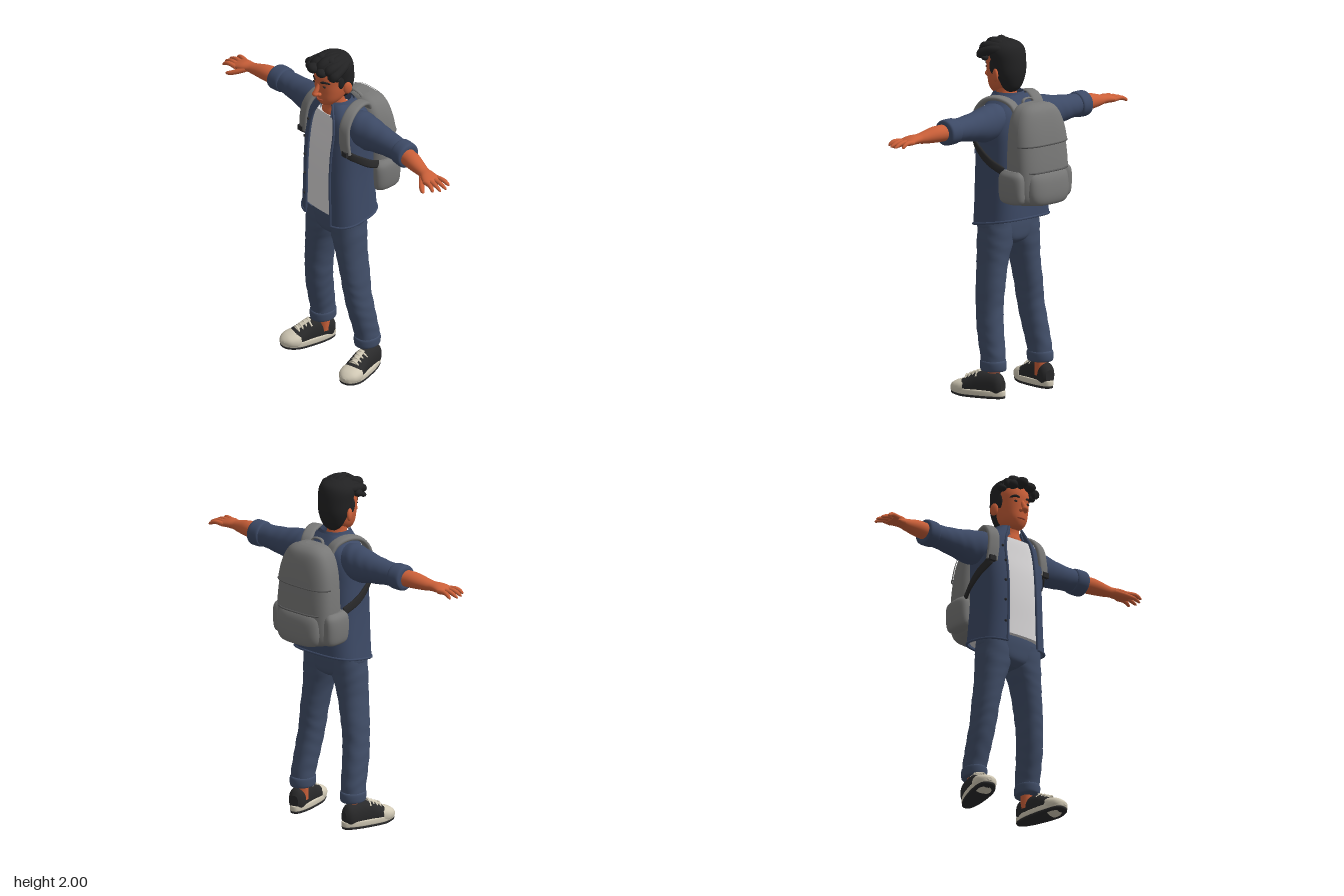
import * as THREE from 'three';

const V = (x, y, z) => new THREE.Vector3(x, y, z);
const TAU = Math.PI * 2;
const mat = (name, color, side = THREE.FrontSide) => {
  const m = new THREE.MeshStandardMaterial({ color, side });
  m.name = name;
  return m;
};

// Smooth interpolation between rows of numbers at fractional index u
function rowAt(rows, u) {
  const n = rows.length - 1, i = Math.min(Math.floor(u), n - 1), t = u - i;
  const [a, b, c, d] = [rows[Math.max(i - 1, 0)], rows[i], rows[i + 1], rows[Math.min(i + 2, n)]];
  return b.map((q, k) => q + 0.5 * t * (c[k] - a[k] + t * (2 * a[k] - 5 * q + 4 * c[k] - d[k] + t * (3 * (q - c[k]) + d[k] - a[k]))));
}

// Rings from rows [position, centre, centre, radius, radius] along an axis; on y, angle 0 is the front
function makeRings(rows, { axis = 'y', p = 2, n = 32, from = 0, to = TAU, u0 = 0, u1 = rows.length - 1, off = 0, fold = 0, rule } = {}) {
  const out = [], steps = Math.max(2, Math.ceil((u1 - u0) * 5)), open = to - from < TAU - 0.001;
  const pw = x => Math.sign(x) * Math.pow(Math.abs(x), 2 / p);
  for (let i = 0; i <= steps; i++) {
    const [t, c, d, ra, rb] = rowAt(rows, u0 + (u1 - u0) * i / steps), ring = [];
    for (let j = 0; j < (open ? n + 1 : n); j++) {
      const th = from + (to - from) * j / n;
      const k = 1 + fold * Math.sin(t * 75 + Math.sin(th * 2 + t * 9) * 2);
      const cs = pw(Math.cos(th)), sn = pw(Math.sin(th));
      const A = c + (Math.max(ra, 0.001) * k + off) * (axis === 'y' ? sn : cs);
      const B = d + (Math.max(rb, 0.001) * k + off) * (axis === 'y' ? cs : sn);
      const v = axis === 'y' ? V(A, t, B) : axis === 'x' ? V(t, A, B) : V(A, B, t);
      if (rule) rule(v);
      ring.push(v);
    }
    out.push(ring);
  }
  return out;
}

// Skin a list of rings; closed rings get end caps
function skin(rings, open = false) {
  const pos = [], idx = [], n = rings[0].length, m = rings.length;
  rings.forEach(r => r.forEach(v => pos.push(v.x, v.y, v.z)));
  for (let i = 0; i < m - 1; i++) for (let j = 0; j < (open ? n - 1 : n); j++) {
    const k = (j + 1) % n, a = i * n + j, b = i * n + k;
    idx.push(a, b, a + n, b, b + n, a + n);
  }
  if (!open) [0, m - 1].forEach(e => {
    const c = rings[e].reduce((s, v) => s.add(v), V(0, 0, 0)).divideScalar(n), o = pos.length / 3;
    pos.push(c.x, c.y, c.z);
    rings[e].forEach(v => pos.push(v.x, v.y, v.z));
    for (let j = 0; j < n; j++) {
      const a = o + 1 + j, b = o + 1 + (j + 1) % n;
      e ? idx.push(o, a, b) : idx.push(o, b, a);
    }
  });
  const g = new THREE.BufferGeometry();
  g.setAttribute('position', new THREE.Float32BufferAttribute(pos, 3));
  g.setIndex(idx);
  g.computeVertexNormals();
  return g;
}
const loft = (rows, o = {}) => skin(makeRings(rows, o), o.to !== undefined);

// Band swept along a path: half width w along ref, half thickness t, tapered by size(u)
function sweep(pts, w, t, ref, size = () => 1, n = 12, p = 2, steps = 18) {
  const c = new THREE.CatmullRomCurve3(pts.map(q => V(...q))), rings = [];
  const pw = x => Math.sign(x) * Math.pow(Math.abs(x), 2 / p);
  for (let i = 0; i <= steps; i++) {
    const u = i / steps, o = c.getPoint(u), T = c.getTangent(u), k = size(u);
    const S = ref.clone().addScaledVector(T, -ref.dot(T)).normalize(), N = T.clone().cross(S);
    rings.push(Array.from({ length: n }, (_, j) => o.clone()
      .addScaledVector(S, w * k * pw(Math.cos(j / n * TAU))).addScaledVector(N, t * k * pw(Math.sin(j / n * TAU)))));
  }
  return skin(rings);
}
const roundTip = u => Math.sqrt(Math.max(0.01, 1 - Math.pow(u, 6))) * (1 - 0.25 * u);
const lockShape = u => Math.sqrt(Math.max(0.02, 1 - Math.pow(2 * u - 1, 4)));
const ball = (x, y, z, a, b, c) => new THREE.SphereGeometry(1, 20, 14).scale(a, b, c).translate(x, y, z);
const cord = (pts, r) => new THREE.TubeGeometry(new THREE.CatmullRomCurve3(pts), 60, r, 6);

function mirrored(g) {
  const m = g.clone().scale(-1, 1, 1);
  m.setIndex(Array.from(g.index.array).reverse());
  m.computeVertexNormals();
  return m;
}

export function createModel() {
  const model = new THREE.Group();
  model.name = 'backpackTraveller';
  const skinMat = mat('skin', 0xcb6039), hair = mat('hair', 0x222223), shirt = mat('shirtBlue', 0x3d4a66, THREE.DoubleSide);
  const denim = mat('denim', 0x414e68), tee = mat('teeWhite', 0xd9d7d8), grey = mat('packGrey', 0x787877);
  const seam = mat('seamGrey', 0x5a5a5a), black = mat('black', 0x2a2a2b), cream = mat('cream', 0xd2cab6), lip = mat('lip', 0xa84a30);
  const add = (name, g, m) => {
    const mesh = new THREE.Mesh(g, m);
    mesh.name = name;
    model.add(mesh);
  };
  const pair = (name, g, m) => {
    add('left' + name, g, m);
    add('right' + name, mirrored(g), m);
  };

  // Open shirt over a tee
  const torso = [[0.99, 0, 0.065, 0.212, 0.162], [1.1, 0, 0.066, 0.203, 0.16], [1.25, 0, 0.07, 0.195, 0.155], [1.4, 0, 0.067, 0.195, 0.148],
    [1.52, 0, 0.062, 0.195, 0.135], [1.6, 0, 0.062, 0.17, 0.122], [1.65, 0, 0.07, 0.125, 0.1], [1.69, 0, 0.075, 0.085, 0.08]];
  const hem = v => { v.y -= 0.18 * (v.z - 0.01) * Math.min(1, Math.max(0, (1.25 - v.y) / 0.25)); };
  const body = makeRings(torso, { p: 3, n: 56, from: 0.36, to: TAU - 0.36, rule: hem });
  add('shirtBody', skin(body, true), shirt);
  add('shirtHem', cord(body[0], 0.007), shirt);
  add('leftShirtEdge', cord(body.map(r => r[0]), 0.008), shirt);
  add('rightShirtEdge', cord(body.map(r => r[r.length - 1]), 0.008), shirt);
  add('chestPocket', loft(torso, { p: 3, n: 12, from: 0.48, to: 0.98, u0: 2.65, u1: 3.5, off: 0.006 }), shirt);
  add('pocketFlap', loft(torso, { p: 3, n: 12, from: 0.46, to: 1.0, u0: 3.3, u1: 3.65, off: 0.011 }), shirt);
  [1.07, 1.2, 1.32, 1.44, 1.54].forEach(y => add('button', ball(-0.118, y, y > 1.5 ? 0.192 : 0.218, 0.008, 0.008, 0.006), black));
  add('tee', loft(torso.map(r => [Math.max(r[0], 1.01), ...r.slice(1)]), { p: 3, off: -0.014, u1: 5.3 }), tee);
  const collar = { n: 40, from: 0.5, to: TAU - 0.5 };
  add('collarStand', loft([[1.63, 0, 0.08, 0.1, 0.09], [1.67, 0, 0.082, 0.085, 0.08], [1.7, 0, 0.08, 0.08, 0.076]], collar), shirt);
  add('collarFold', loft([[1.625, 0, 0.085, 0.122, 0.112], [1.665, 0, 0.082, 0.102, 0.095], [1.702, 0, 0.08, 0.081, 0.077]], collar), shirt);

  // Sleeves with rolled cuffs
  pair('Sleeve', loft([[0.08, 1.575, 0.055, 0.06, 0.07], [0.16, 1.562, 0.05, 0.092, 0.09], [0.23, 1.548, 0.045, 0.1, 0.088], [0.32, 1.548, 0.04, 0.083, 0.077],
    [0.42, 1.55, 0.038, 0.069, 0.068], [0.51, 1.552, 0.04, 0.062, 0.064]], { axis: 'x', fold: 0.012 }), shirt);
  pair('SleeveCuff', loft([[0.482, 1.552, 0.038, 0.055, 0.055], [0.488, 1.552, 0.038, 0.07, 0.072], [0.52, 1.551, 0.04, 0.073, 0.075],
    [0.556, 1.55, 0.042, 0.071, 0.073], [0.565, 1.55, 0.042, 0.055, 0.056]], { axis: 'x' }), shirt);

  // Forearms, palms and fingers
  pair('Forearm', loft([[0.53, 1.55, 0.045, 0.047, 0.05], [0.62, 1.548, 0.057, 0.045, 0.049], [0.7, 1.54, 0.07, 0.033, 0.038], [0.735, 1.538, 0.077, 0.027, 0.036],
    [0.775, 1.536, 0.086, 0.026, 0.047], [0.815, 1.53, 0.09, 0.02, 0.053], [0.84, 1.527, 0.092, 0.01, 0.046]], { axis: 'x' }), skinMat);
  [[0.05, 0.035, 0.9], [0.079, 0.074, 0.92], [0.106, 0.112, 0.915], [0.13, 0.15, 0.893]].forEach(([a, b, x]) =>
    pair('Finger', sweep([[0.8, 1.53, a], [0.86, 1.533, (a + b) / 2], [x, 1.513, b]], 0.015, 0.014, V(0, 0, 1), roundTip), skinMat));
  pair('Thumb', sweep([[0.75, 1.53, 0.105], [0.785, 1.512, 0.14], [0.812, 1.5, 0.16], [0.84, 1.492, 0.175]], 0.018, 0.016, V(0, 0, 1), roundTip), skinMat);

  // Trousers
  add('trouserSeat', loft([[0.845, 0, 0.085, 0.03, 0.06], [0.875, 0, 0.085, 0.13, 0.095], [0.94, 0, 0.085, 0.195, 0.104], [1.0, 0, 0.085, 0.197, 0.105],
    [1.06, 0, 0.08, 0.19, 0.1]], { p: 2.4 }), denim);
  pair('TrouserLeg', loft([[0.17, 0.187, 0.022, 0.062, 0.071], [0.23, 0.186, 0.026, 0.063, 0.073], [0.3, 0.181, 0.04, 0.065, 0.076], [0.4, 0.173, 0.06, 0.067, 0.08],
    [0.5, 0.162, 0.074, 0.068, 0.081], [0.6, 0.152, 0.079, 0.07, 0.087], [0.75, 0.128, 0.086, 0.079, 0.092], [0.87, 0.106, 0.086, 0.097, 0.1],
    [0.98, 0.1, 0.085, 0.095, 0.102]], { p: 2.2, fold: 0.016 }), denim);
  pair('TrouserCuff', loft([[0.15, 0.187, 0.022, 0.054, 0.064], [0.156, 0.187, 0.022, 0.065, 0.076], [0.18, 0.187, 0.022, 0.068, 0.08],
    [0.205, 0.187, 0.023, 0.067, 0.078], [0.213, 0.187, 0.023, 0.056, 0.068]]), denim);
  pair('Ankle', new THREE.CylinderGeometry(0.037, 0.036, 0.12, 20).translate(0.189, 0.13, 0.018), skinMat);

  // Sneakers, modelled straight and turned outward
  const shoe = (name, g, m) => pair(name, g.rotateY(0.25).translate(0.225, 0, 0.1), m);
  const foot = v => { v.x *= 1 + 1.3 * v.z; v.y += Math.max(0, v.z - 0.08) * 0.12; };
  const sole = (y0, y1, k) => loft([[y0, 0, 0, 0.054 * k, 0.16 * k], [y0 + 0.003, 0, 0, 0.061 * k, 0.168 * k], [y1 - 0.003, 0, 0, 0.061 * k, 0.168 * k],
    [y1, 0, 0, 0.054 * k, 0.16 * k]], { p: 2.5, n: 40, rule: foot });
  shoe('ShoeTread', sole(0, 0.017, 0.985), black);
  shoe('ShoeMidsole', sole(0.014, 0.045, 1), cream);
  shoe('ShoeUpper', loft([[-0.158, 0, 0.07, 0.025, 0.035], [-0.13, 0, 0.073, 0.045, 0.066], [-0.06, 0, 0.073, 0.048, 0.074], [0, 0, 0.07, 0.052, 0.07],
    [0.05, 0, 0.055, 0.059, 0.06], [0.1, 0, 0.045, 0.06, 0.046], [0.14, 0, 0.04, 0.045, 0.03]], { axis: 'z', p: 2.3 }), black);
  shoe('ToeCap', loft([[0.07, 0, 0.046, 0.064, 0.053], [0.1, 0, 0.045, 0.066, 0.048], [0.135, 0, 0.045, 0.056, 0.036], [0.158, 0, 0.042, 0.035, 0.024],
    [0.17, 0, 0.042, 0.012, 0.01]], { axis: 'z', p: 2.3 }), cream);
  shoe('Tongue', sweep([[0, 0.102, 0.075], [0, 0.125, 0.04], [0, 0.147, -0.01]], 0.019, 0.008, V(1, 0, 0)), cream);
  for (let i = 0; i < 4; i++) {
    const z = -0.005 + i * 0.023, y = 0.143 - i * 0.01;
    shoe('Lace', sweep([[-0.04, y - 0.026, z], [0, y + 0.005, z + 0.008], [0.04, y - 0.026, z]], 0.006, 0.005, V(0, 0, 1)), cream);
  }

  // Neck, head and face
  add('neck', loft([[1.57, 0, 0.07, 0.11, 0.09], [1.62, 0, 0.075, 0.092, 0.088], [1.66, 0, 0.09, 0.062, 0.064], [1.7, 0, 0.1, 0.055, 0.055], [1.76, 0, 0.1, 0.055, 0.055]]), skinMat);
  add('head', loft([[1.682, 0, 0.16, 0.018, 0.02], [1.695, 0, 0.15, 0.044, 0.046], [1.73, 0, 0.13, 0.07, 0.081], [1.78, 0, 0.116, 0.084, 0.1], [1.83, 0, 0.112, 0.089, 0.109],
    [1.88, 0, 0.11, 0.092, 0.112], [1.93, 0, 0.105, 0.08, 0.1], [1.965, 0, 0.1, 0.04, 0.05]], { p: 2.2 }), skinMat);
  pair('Ear', ball(0, 0, 0, 0.013, 0.037, 0.026).rotateY(-0.35).translate(0.1, 1.8, 0.09), skinMat);
  add('noseBridge', sweep([[0, 1.84, 0.208], [0, 1.81, 0.224], [0, 1.777, 0.243]], 0.014, 0.014, V(1, 0, 0), u => 0.7 + 0.4 * u), skinMat);
  add('noseTip', ball(0, 1.776, 0.24, 0.019, 0.015, 0.02), skinMat);
  pair('Nostril', ball(0.016, 1.772, 0.225, 0.011, 0.01, 0.013), skinMat);
  pair('Eye', ball(0.04, 1.826, 0.211, 0.013, 0.006, 0.005), black);
  pair('Brow', sweep([[0.02, 1.849, 0.222], [0.045, 1.856, 0.212], [0.068, 1.848, 0.188]], 0.007, 0.005, V(0, 1, 0), lockShape), hair);
  add('mouth', sweep([[-0.027, 1.731, 0.207], [0, 1.729, 0.217], [0.027, 1.731, 0.207]], 0.006, 0.005, V(0, 1, 0), lockShape), lip);

  // Short sides and back, then swept locks on top
  add('hairCap', loft([[1.7, 0, 0.06, 0.03, 0.02], [1.73, 0, 0.06, 0.062, 0.048], [1.8, 0, 0.07, 0.092, 0.078], [1.87, 0, 0.085, 0.102, 0.094], [1.93, 0, 0.1, 0.105, 0.1],
    [1.965, 0, 0.11, 0.085, 0.09], [1.985, 0, 0.115, 0.045, 0.05]]), hair);
  pair('Sideburn', ball(0.086, 1.845, 0.125, 0.011, 0.045, 0.022), hair);
  for (let i = 0; i < 8; i++) {
    const x = (i - 3.5) * 0.027, dip = i % 2 * 0.018, e = x * x * 4;
    add('hairLock', sweep([[x * 0.6, 1.945, 0.05], [x * 0.9 + 0.01, 1.972 - e, 0.13], [x + 0.005, 1.962 - dip - e, 0.2], [x - 0.012, 1.915 - dip / 2, 0.235 - e * 1.3]],
      0.03, 0.026, V(1, 0, 0), lockShape, 10), hair);
  }
  [[-0.1, 1.91, 0.16, 0.026], [-0.112, 1.895, 0.19, 0.016], [0.095, 1.925, 0.15, 0.028], [0.1, 1.89, 0.17, 0.02], [-0.02, 1.935, 0.24, 0.034],
    [0.04, 1.925, 0.23, 0.03], [-0.065, 1.92, 0.215, 0.03], [-0.03, 1.975, 0.17, 0.026], [0.035, 1.972, 0.16, 0.027]].forEach(([x, y, z, r]) =>
    add('hairCurl', ball(x, y, z, r * 1.1, r * 0.85, r), hair));

  // Backpack with pockets, seams and handle
  const pack = [[1.095, 0, -0.13, 0.1, 0.05], [1.107, 0, -0.13, 0.155, 0.085], [1.15, 0, -0.135, 0.186, 0.106], [1.3, 0, -0.137, 0.192, 0.106], [1.45, 0, -0.13, 0.182, 0.1],
    [1.55, 0, -0.122, 0.163, 0.092], [1.62, 0, -0.115, 0.13, 0.078], [1.652, 0, -0.11, 0.09, 0.055], [1.663, 0, -0.108, 0.04, 0.025]];
  add('packBody', loft(pack, { p: 3, n: 48 }), grey);
  const back = { p: 3, n: 40, from: 1.75, to: TAU - 1.75 };
  add('packLid', loft(pack, { ...back, u0: 3.95, u1: 7.2, off: 0.008 }), grey);
  add('lidSeam', cord(makeRings(pack, { ...back, u0: 3.93, u1: 4.1, off: 0.006 })[0], 0.005), seam);
  add('frontPocket', loft([[1.1, 0, -0.19, 0.08, 0.04], [1.112, 0, -0.195, 0.13, 0.065], [1.16, 0, -0.2, 0.152, 0.072], [1.24, 0, -0.198, 0.152, 0.068],
    [1.285, 0, -0.19, 0.14, 0.058], [1.3, 0, -0.185, 0.1, 0.04]], { p: 3 }), grey);
  add('pocketSeam', sweep([[-0.15, 1.292, -0.222], [-0.1, 1.292, -0.244], [0, 1.292, -0.248], [0.1, 1.292, -0.244], [0.15, 1.292, -0.222]], 0.005, 0.005, V(0, 1, 0)), seam);
  pair('SidePocket', loft([[1.11, 0.175, -0.12, 0.02, 0.04], [1.13, 0.182, -0.12, 0.04, 0.08], [1.2, 0.188, -0.12, 0.043, 0.088], [1.27, 0.188, -0.12, 0.038, 0.084],
    [1.3, 0.18, -0.12, 0.022, 0.06]], { p: 2.5 }), grey);
  add('packHandle', sweep([[-0.045, 1.645, -0.07], [-0.03, 1.672, -0.06], [0.03, 1.672, -0.06], [0.045, 1.645, -0.07]], 0.01, 0.006, V(0, 0, 1)), grey);

  // Shoulder straps and lower webbing
  pair('ShoulderStrap', sweep([[0.085, 1.6, -0.07], [0.1, 1.655, -0.035], [0.125, 1.682, 0.035], [0.15, 1.668, 0.11], [0.163, 1.61, 0.162], [0.172, 1.53, 0.177], [0.182, 1.44, 0.174]],
    0.034, 0.013, V(1, 0, -0.25), () => 1, 16, 3, 36), grey);
  pair('StrapWebbing', sweep([[0.178, 1.47, 0.18], [0.193, 1.43, 0.16], [0.211, 1.385, 0.1], [0.212, 1.335, 0.03], [0.19, 1.29, -0.05]],
    0.023, 0.009, V(0, 1, 0.3), () => 1, 12, 3, 24), black);
  pair('StrapBuckle', new THREE.BoxGeometry(0.04, 0.03, 0.02).translate(0.186, 1.445, 0.184), black);
  return model;
}
